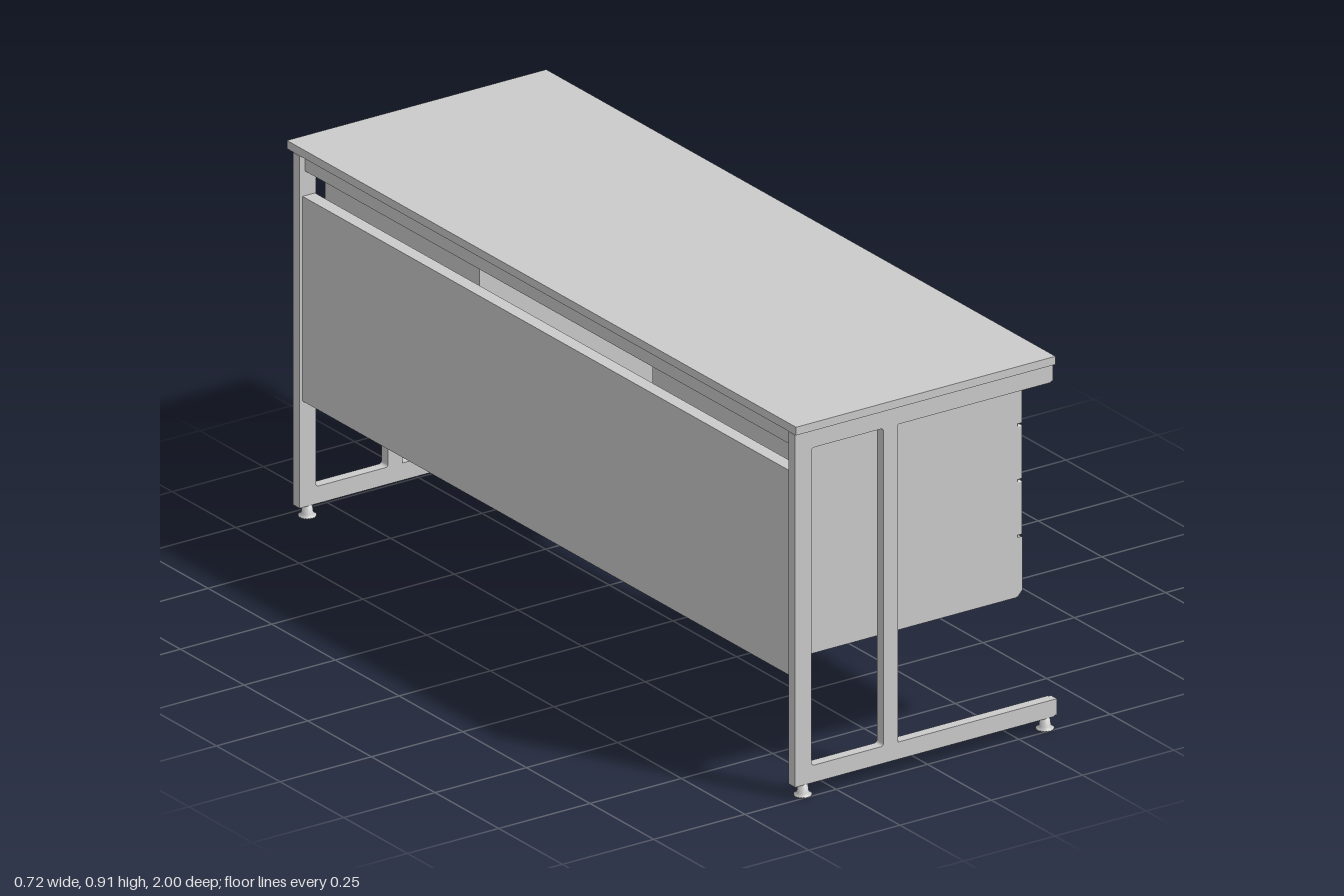
import * as THREE from 'three';
import { RoundedBoxGeometry } from 'three/addons/geometries/RoundedBoxGeometry.js';

const mat = new THREE.MeshStandardMaterial({ color: 0xcccccc });

function add(parent, name, geometry) {
  const mesh = new THREE.Mesh(geometry, mat);
  mesh.name = name;
  parent.add(mesh);
  return mesh;
}

// Box given by its limits on each axis
function box(parent, name, [x0, x1], [y0, y1], [z0, z1]) {
  const mesh = add(parent, name, new THREE.BoxGeometry(x1 - x0, y1 - y0, z1 - z0));
  mesh.position.set((x0 + x1) / 2, (y0 + y1) / 2, (z0 + z1) / 2);
  return mesh;
}

function polygon(points) {
  return new THREE.Shape(points.map(([x, y]) => new THREE.Vector2(x, y)));
}

// Rectangular opening with small rounded corners
function opening(x0, x1, y0, y1, r = 0.007) {
  const p = new THREE.Path();
  p.absarc(x0 + r, y0 + r, r, Math.PI, Math.PI * 1.5);
  p.absarc(x1 - r, y0 + r, r, Math.PI * 1.5, Math.PI * 2);
  p.absarc(x1 - r, y1 - r, r, 0, Math.PI / 2);
  p.absarc(x0 + r, y1 - r, r, Math.PI / 2, Math.PI);
  p.closePath();
  return p;
}

// Profile in x/y extruded along z
function extrude(parent, name, shape, z0, z1) {
  const geometry = new THREE.ExtrudeGeometry(shape, { depth: z1 - z0, bevelEnabled: false, curveSegments: 5 });
  const mesh = add(parent, name, geometry);
  mesh.position.z = z0;
  return mesh;
}

// End frame: two posts between an upper and a lower beam, on two feet
function legFrame(z0, z1) {
  const g = new THREE.Group();
  g.name = 'legFrame';
  const shape = polygon([
    [-0.36, 0.03], [0.35, 0.03], [0.35, 0.072], [-0.078, 0.072],
    [-0.078, 0.848], [0.34, 0.848], [0.34, 0.89], [-0.36, 0.89],
  ]);
  shape.holes.push(opening(-0.315, -0.118, 0.072, 0.848));
  extrude(g, 'frameTubes', shape, z0, z1);
  box(g, 'upperEndCap', [0.34, 0.347], [0.85, 0.889], [z0 + 0.001, z1 - 0.001]);
  box(g, 'lowerEndCap', [0.35, 0.358], [0.032, 0.071], [z0 + 0.001, z1 - 0.001]);
  const footProfile = [[0, 0], [0.021, 0], [0.021, 0.004], [0.014, 0.008], [0.011, 0.03], [0, 0.03]]
    .map(([r, y]) => new THREE.Vector2(r, y));
  for (const x of [-0.33, 0.333]) {
    const foot = add(g, 'foot', new THREE.LatheGeometry(footProfile, 20));
    foot.position.set(x, 0, (z0 + z1) / 2);
  }
  return g;
}

// Bow handle, narrow in the middle and flared at its ends
function handleGeometry() {
  const s = new THREE.Shape();
  s.moveTo(-0.06, 0);
  s.bezierCurveTo(-0.058, 0.022, -0.045, 0.032, -0.025, 0.032);
  s.lineTo(0.025, 0.032);
  s.bezierCurveTo(0.045, 0.032, 0.058, 0.022, 0.06, 0);
  s.lineTo(0.047, 0);
  s.bezierCurveTo(0.046, 0.014, 0.038, 0.024, 0.022, 0.025);
  s.lineTo(0, 0.025);
  s.lineTo(-0.022, 0.025);
  s.bezierCurveTo(-0.038, 0.024, -0.046, 0.014, -0.047, 0);
  const geometry = new THREE.ExtrudeGeometry(s, { depth: 1, bevelEnabled: false, curveSegments: 8 });
  const p = geometry.attributes.position;
  for (let i = 0; i < p.count; i++) {
    const along = p.getX(i), out = p.getY(i);
    const height = 0.01 + 0.011 * Math.min(1, Math.abs(along) / 0.06);
    p.setXYZ(i, out, (p.getZ(i) - 0.5) * height, -along);
  }
  // the remapping keeps handedness, so only normals need refreshing
  geometry.computeVertexNormals();
  return geometry;
}

// Drawer cabinet with four fronts facing +x
function pedestal(z0, z1) {
  const g = new THREE.Group();
  g.name = 'drawerPedestal';
  extrude(g, 'cabinet', polygon([
    [-0.303, 0.333], [-0.296, 0.327], [0.27, 0.327], [0.274, 0.333], [0.274, 0.85], [-0.303, 0.85],
  ]), z0, z1);

  const seams = [0.85, 0.746, 0.61, 0.474];
  for (let i = 0; i < 3; i++) {
    const top = seams[i] - 0.002, bottom = seams[i + 1] + 0.002;
    const front = add(g, 'drawerFront', new RoundedBoxGeometry(0.02, top - bottom, z1 - z0 - 0.004, 2, 0.003));
    front.position.set(0.279, (top + bottom) / 2, (z0 + z1) / 2);
  }
  // lowest front has a bevelled finger edge
  extrude(g, 'drawerFront', polygon([
    [0.269, 0.327], [0.276, 0.327], [0.289, 0.341], [0.289, 0.469], [0.286, 0.472], [0.269, 0.472],
  ]), z0 + 0.002, z1 - 0.002);

  const handle = handleGeometry();
  for (const y of [0.797, 0.678, 0.547, 0.42]) {
    add(g, 'drawerHandle', handle).position.set(0.288, y, (z0 + z1) / 2 + 0.003);
  }
  return g;
}

export function createModel() {
  const desk = new THREE.Group();
  desk.name = 'desk';

  box(desk, 'deskTop', [-0.36, 0.35], [0.891, 0.911], [-1, 1]);

  desk.add(legFrame(0.97, 0.996), legFrame(-0.976, -0.95));
  desk.add(pedestal(0.355, 0.96), pedestal(-0.932, -0.325));

  // rails joining the end frames under the top
  box(desk, 'frontRail', [0.295, 0.325], [0.85, 0.89], [-0.95, 0.97]);
  box(desk, 'backRail', [-0.345, -0.315], [0.85, 0.89], [-0.95, 0.97]);

  // folded sheet closing the back, with inward flanges and lips
  extrude(desk, 'modestyPanel', polygon([
    [-0.352, 0.29], [-0.318, 0.29], [-0.318, 0.31], [-0.321, 0.31], [-0.321, 0.293], [-0.349, 0.293],
    [-0.349, 0.787], [-0.321, 0.787], [-0.321, 0.77], [-0.318, 0.77], [-0.318, 0.79], [-0.352, 0.79],
  ]), -0.95, 0.97);

  return desk;
}
